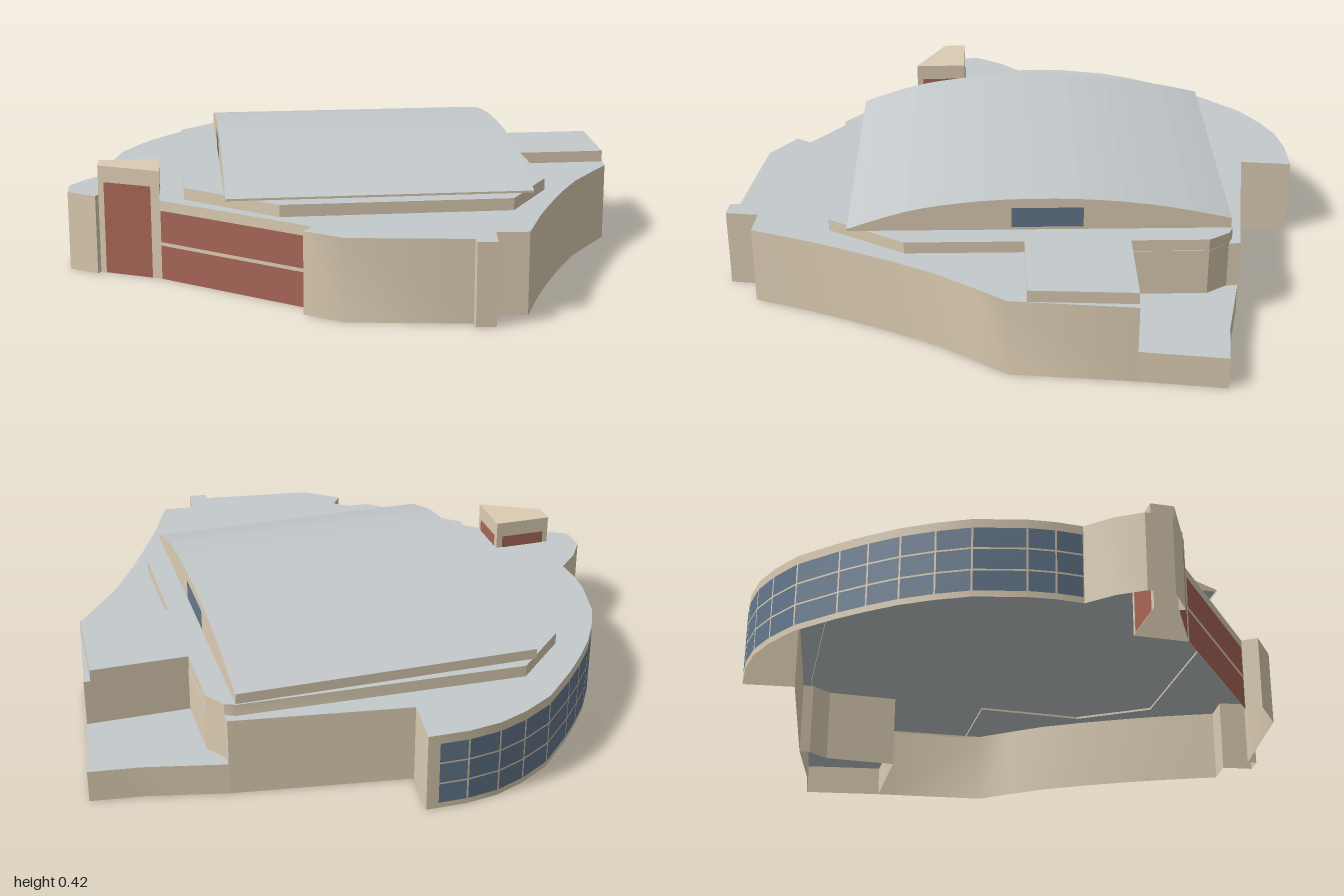
import * as THREE from 'three';
import { toCreasedNormals } from 'three/addons/utils/BufferGeometryUtils.js';

const material = (name, color) => {
  const m = new THREE.MeshStandardMaterial({ color, side: THREE.DoubleSide });
  m.name = name;
  return m;
};

// Sheet of quads between two equally long rows of points
function strip(rowA, rowB, crease = 0.55) {
  const pos = [];
  for (let i = 0; i < rowA.length - 1; i++) {
    for (const p of [rowA[i], rowB[i + 1], rowA[i + 1], rowA[i], rowB[i], rowB[i + 1]]) pos.push(...p);
  }
  const g = new THREE.BufferGeometry();
  g.setAttribute('position', new THREE.Float32BufferAttribute(pos, 3));
  g.computeVertexNormals();
  return toCreasedNormals(g, crease);
}

// Upright wall along a plan path of [x, z] points
const wall = (path, y0, y1) =>
  strip(path.map(([x, z]) => [x, y0, z]), path.map(([x, z]) => [x, y1, z]));

// Flat roof over a plan outline
function flatRoof(outline, y) {
  const shape = new THREE.Shape(outline.map(([x, z]) => new THREE.Vector2(x, -z)));
  return new THREE.ShapeGeometry(shape).rotateX(-Math.PI / 2).translate(0, y, 0);
}

// Flush panel on the outer face of the wall from a to b, with end margins
function panel([ax, az], [bx, bz], y0, y1, startGap, endGap, mat, name) {
  const dx = bx - ax, dz = bz - az, len = Math.hypot(dx, dz);
  const mid = (startGap + len - endGap) / 2, off = 0.0015;
  const m = new THREE.Mesh(new THREE.PlaneGeometry(len - startGap - endGap, y1 - y0), mat);
  m.position.set(ax + (dx * mid + dz * off) / len, (y0 + y1) / 2, az + (dz * mid - dx * off) / len);
  m.rotation.y = Math.PI - Math.atan2(dz, dx);
  m.name = name;
  return m;
}

export function createModel() {
  const model = new THREE.Group();
  model.name = 'arena';
  const stone = material('beige wall', 0xdccdb3);
  const grey = material('grey roof', 0xc4c9cc);
  const red = material('red panel', 0xa86657);
  const glass = material('blue glass', 0x64788e);
  const add = (geometry, mat, name) => {
    const m = new THREE.Mesh(geometry, mat);
    m.name = name;
    model.add(m);
  };

  // Plan outlines, running clockwise seen from above
  const curve = [
    [-0.87, -0.03], [-0.875, -0.12], [-0.868, -0.21], [-0.83, -0.375], [-0.78, -0.48], [-0.72, -0.58],
    [-0.65, -0.67], [-0.58, -0.75], [-0.46, -0.87], [-0.35, -0.935], [-0.25, -0.975], [-0.14, -0.992], [-0.005, -0.99],
  ];
  const lowInner = [[0.565, -0.728], [0.565, -0.69], [0.612, -0.62], [0.612, -0.365], [0.957, -0.365]];
  const lowOuter = [[0.565, -0.728], [0.7, -0.697], [0.83, -0.667], [1, -0.645], [0.957, -0.365]];
  const mainPath = [
    [-0.895, 0.265], [-0.905, 0.285], [-1, 0.22], [-1, 0.13], [-0.945, 0.045],
    ...curve, [-0.025, -0.815], ...lowInner,
    [0.91, 0.04], [0.83, 0.145], [0.745, 0.26], [0.66, 0.41], [0.58, 0.57], [0.52, 0.7], [0.445, 0.885],
    [0.34, 0.875], [0.325, 0.985], [0.262, 0.98], [0.262, 0.945],
    [-0.13, 0.89], [-0.25, 0.8], [-0.215, 0.75], [-0.69, 0.37],
  ];
  const tower = [[-0.895, 0.185], [-0.69, 0.185], [-0.69, 0.37], [-0.895, 0.265]];
  const tier = [
    [-0.61, -0.56], [-0.43, -0.735], [0.53, -0.705], [0.565, -0.69], [0.61, -0.62],
    [0.61, -0.365], [0.935, -0.365], [0.915, -0.02], [0.61, -0.02],
    [0.61, 0.37], [0.45, 0.625], [-0.31, 0.625], [-0.61, 0.365],
  ];
  const closed = (pts) => [...pts, pts[0]];

  // Main building, open underneath
  add(wall(mainPath, 0, 0.27), stone, 'mainWalls');
  add(flatRoof([...mainPath, tower[1], tower[0]], 0.27), grey, 'mainRoof');

  // Low annex in the back corner
  add(wall(lowOuter, 0, 0.11), stone, 'annexWalls');
  add(flatRoof([...lowOuter, ...lowInner.slice(1, -1).reverse()], 0.11), grey, 'annexRoof');

  // Raised roof tier, its walls reaching just through the main roof
  add(wall(closed(tier), 0.262, 0.31), stone, 'tierWalls');
  add(flatRoof(tier, 0.31), grey, 'tierRoof');

  // Arched hall roof in flat bands, with end walls
  const arc = new THREE.SplineCurve([
    [0.56, 0.317], [0.39, 0.373], [0.245, 0.402], [0.06, 0.42], [-0.15, 0.422],
    [-0.34, 0.41], [-0.53, 0.382], [-0.7, 0.345],
  ].map(([z, y]) => new THREE.Vector2(z, y))).getPoints(18);
  const x0 = -0.48, x1 = 0.53;
  const across = (x) => arc.map((p) => [x, p.y, p.x]);
  add(strip(across(x1), across(x0), 0.005), grey, 'archedRoof');
  for (const x of [x0, x1]) add(strip(arc.map((p) => [x, 0.31, p.x]), across(x)), stone, 'archEndWall');
  add(wall([[x0, 0.56], [x1, 0.56]], 0.31, 0.317), stone, 'archFrontSill');
  add(wall([[x0, -0.7], [x1, -0.7]], 0.31, 0.345), stone, 'archBackWall');
  model.add(panel([x1, -0.215], [x1, 0.02], 0.32, 0.39, 0, 0, glass, 'archWindow'));
  model.add(panel([x0, 0.02], [x0, -0.215], 0.32, 0.39, 0, 0, glass, 'archWindow'));

  // Entrance tower with red panels
  add(wall(closed(tower), 0, 0.37), stone, 'towerWalls');
  add(flatRoof(tower, 0.37), stone, 'towerTop');
  for (let i = 0; i < 3; i++) {
    model.add(panel(tower[i], tower[i + 1], 0, 0.315, i === 2 ? 0.033 : 0.02, 0.022, red, 'towerPanel'));
  }

  // Two rows of red panels on the slanted front wall
  for (const [y0, y1] of [[0, 0.116], [0.128, 0.236]]) {
    model.add(panel([-0.215, 0.75], [-0.69, 0.37], y0, y1, 0.012, 0.003, red, 'frontPanel'));
  }

  // Glazing on the curved wall, three rows of panes between thin bars
  for (let i = 0; i < curve.length - 1; i++) {
    for (let row = 0; row < 3; row++) {
      const y = 0.02 + row * 0.075;
      const last = i === curve.length - 2;
      model.add(panel(curve[i], curve[i + 1], y, y + 0.069, 0.003, last ? 0.04 : 0.003, glass, 'curvedWindow'));
    }
  }
  return model;
}
